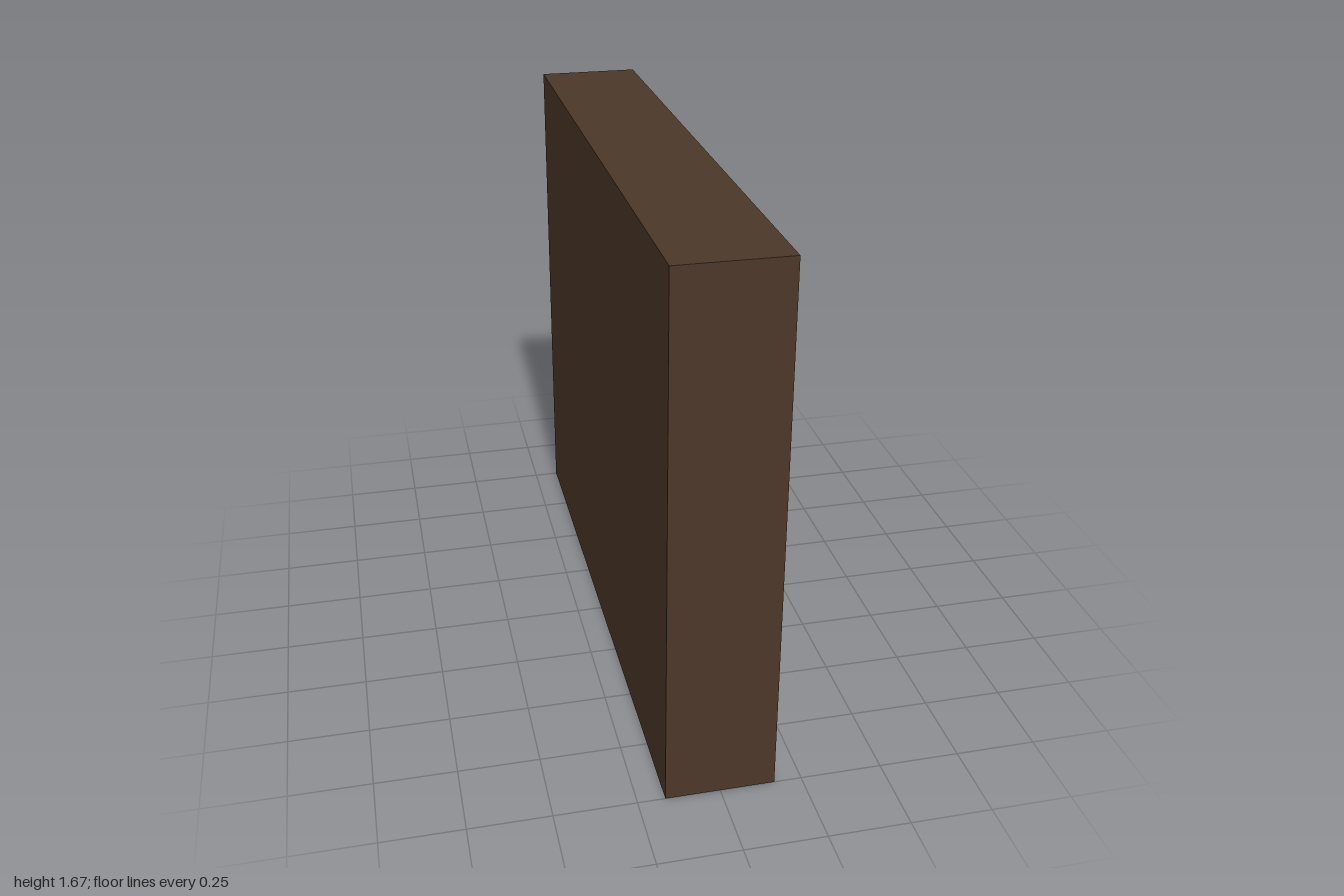
import * as THREE from 'three';

const HEIGHT = 1.667, WIDTH = 2, DEPTH = 0.333, BACK = 0.025;
const CELL_H = 0.227;
const LEFT = 0.92, RIGHT = -0.95; // z limits of the pigeonholes

// Each row: height of its floor, then the z edges of every divider [near, far]
const ROWS = [
  [0.026, [[0.465, 0.435], [0.285, 0.265], [0.065, 0.05], [-0.285, -0.31], [-0.645, -0.67]]],
  [0.308, [[0.8, 0.765], [0.135, 0.115], [-0.12, -0.14], [-0.525, -0.545]]],
  [0.586, [[0.705, 0.685], [0.13, 0.105], [-0.08, -0.105], [-0.65, -0.675]]],
  [0.834, [[0.64, 0.625], [0.08, 0.05], [-0.135, -0.16], [-0.715, -0.73]]],
  [1.112, [[0.51, 0.495], [0.11, 0.09], [-0.15, -0.17], [-0.795, -0.83]]],
  [1.39, [[0.64, 0.615], [0.275, 0.255], [-0.085, -0.1], [-0.3, -0.315], [-0.47, -0.495]]],
];

// Rectangle outline, used for both the frame and its openings
function rect(Type, x0, x1, y0, y1) {
  const p = new Type();
  p.moveTo(x0, y0);
  p.lineTo(x1, y0);
  p.lineTo(x1, y1);
  p.lineTo(x0, y1);
  p.closePath();
  return p;
}

export function createModel() {
  const group = new THREE.Group();
  group.name = 'shelfUnit';
  const wood = new THREE.MeshStandardMaterial({ color: 0x4b3728 });

  // Frame, shelves and dividers: one slab pierced by the pigeonholes, opening to +x
  const outline = rect(THREE.Shape, -WIDTH / 2, WIDTH / 2, 0, HEIGHT);
  for (const [y, dividers] of ROWS) {
    let start = LEFT;
    for (const [near, far] of [...dividers, [RIGHT, RIGHT]]) {
      outline.holes.push(rect(THREE.Path, -start, -near, y, y + CELL_H));
      start = far;
    }
  }
  const slab = new THREE.ExtrudeGeometry(outline, { depth: DEPTH - BACK, bevelEnabled: false });
  slab.rotateY(Math.PI / 2);
  slab.translate(-DEPTH / 2 + BACK, 0, 0);
  const shelves = new THREE.Mesh(slab, wood);
  shelves.name = 'shelvesAndDividers';
  group.add(shelves);

  // Closed back
  const back = new THREE.Mesh(new THREE.BoxGeometry(BACK, HEIGHT, WIDTH), wood);
  back.name = 'backPanel';
  back.position.set(-DEPTH / 2 + BACK / 2, HEIGHT / 2, 0);
  group.add(back);

  return group;
}
